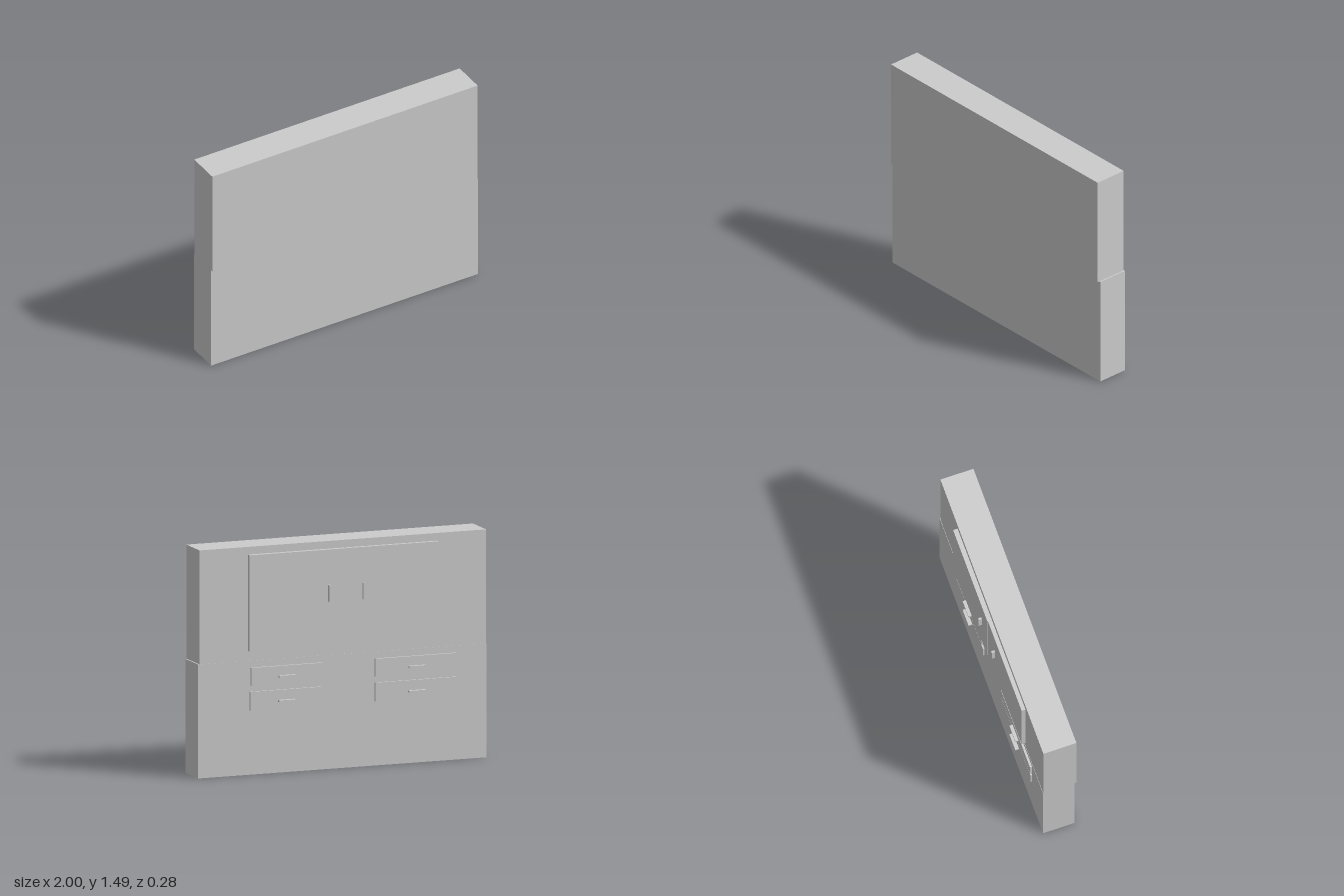
import * as THREE from 'three';

const material = new THREE.MeshStandardMaterial({ color: 0xcccccc, flatShading: true });

// Box given by its extents on each axis
function block(name, [x0, x1], [y0, y1], [z0, z1]) {
  const mesh = new THREE.Mesh(new THREE.BoxGeometry(x1 - x0, y1 - y0, z1 - z0), material);
  mesh.position.set((x0 + x1) / 2, (y0 + y1) / 2, (z0 + z1) / 2);
  mesh.name = name;
  return mesh;
}

export function createModel() {
  const model = new THREE.Group();
  model.name = 'cabinet';
  const back = -0.087;

  // Two stacked carcasses, the upper one slightly deeper
  model.add(block('lowerCarcass', [-1, 1], [0, 0.745], [-0.088, 0.125]));
  model.add(block('upperCarcass', [-1, 0.99], [0.745, 1.49], [-0.086, 0.139]));

  // Pair of doors with upright handles near the middle
  const doors = [
    { side: 'left', x: [-0.01, 0.655], z: -0.118, handle: [0.099, 0.111], out: -0.139 },
    { side: 'right', x: [-0.658, -0.011], z: -0.114, handle: [-0.142, -0.129], out: -0.135 },
  ];
  for (const d of doors) {
    model.add(block(d.side + 'Door', d.x, [0.81, 1.44], [d.z, back]));
    model.add(block(d.side + 'DoorHandle', d.handle, [1.1, 1.21], [d.out, d.z]));
  }

  // Two columns of two drawers with level handles
  const rows = [
    { level: 'Upper', y: [0.583, 0.7], z: -0.103, handle: [0.624, 0.639] },
    { level: 'Lower', y: [0.42, 0.543], z: -0.099, handle: [0.466, 0.478] },
  ];
  const columns = [
    { side: 'left', x: [[0.145, 0.637], [0.132, 0.643]], handle: [0.337, 0.45] },
    { side: 'right', x: [[-0.787, -0.225], [-0.787, -0.225]], handle: [-0.567, -0.453] },
  ];
  for (const c of columns) {
    rows.forEach((r, i) => {
      model.add(block(c.side + r.level + 'Drawer', c.x[i], r.y, [r.z, back]));
      model.add(block(c.side + r.level + 'DrawerHandle', c.handle, r.handle, [-0.125, r.z]));
    });
  }
  return model;
}
